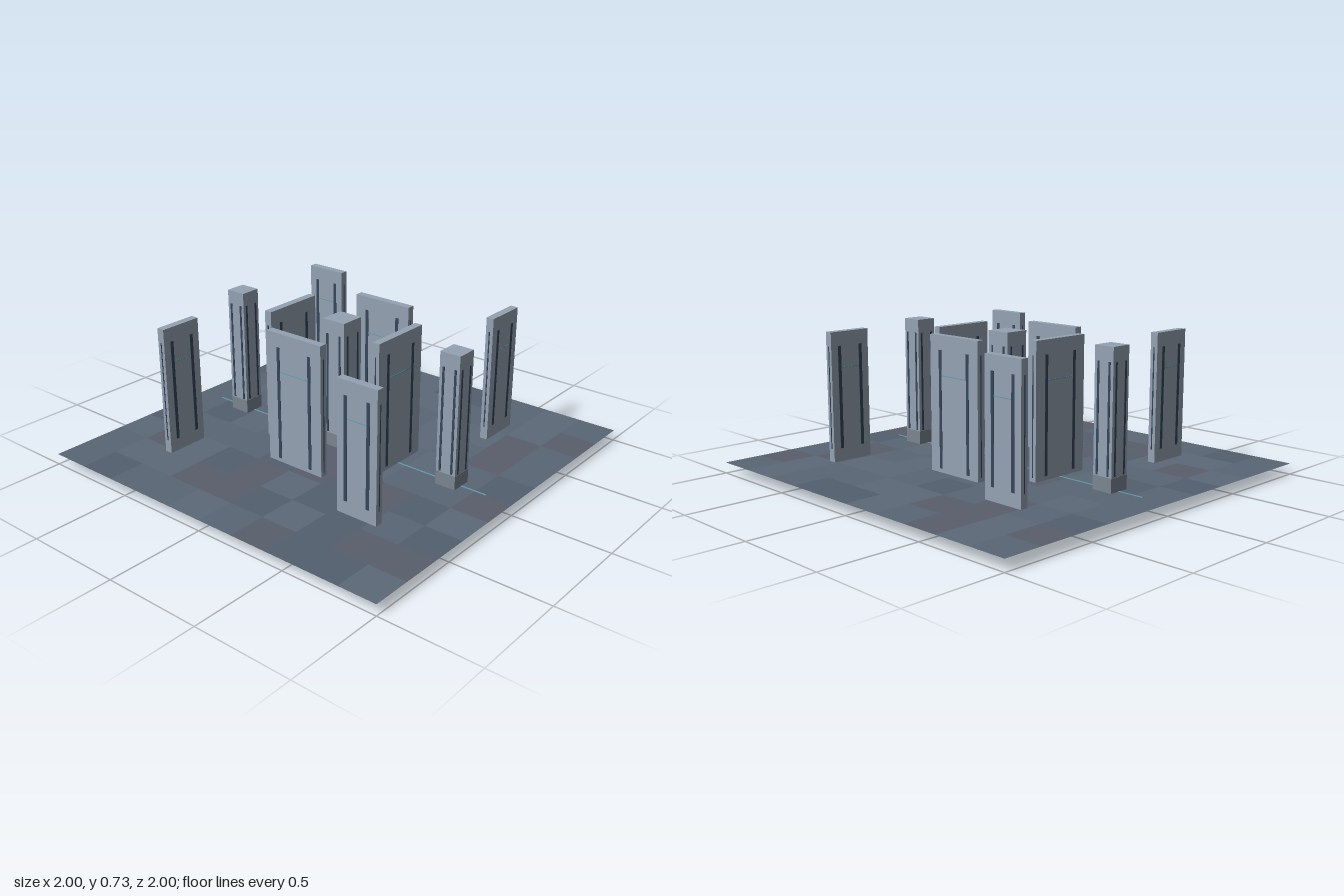
import * as THREE from 'three';
import { mergeGeometries } from 'three/addons/utils/BufferGeometryUtils.js';

const mat = (color, side = THREE.FrontSide) => new THREE.MeshStandardMaterial({ color, side });
const stone = mat(0x94a2b2), dark = mat(0x35465a), shade = mat(0x7b8590), glow = mat(0x5f9fb0);

const FLOOR = 0.055, TOP = 0.725;

function box(parent, name, material, w, d, y0, y1, x = 0, z = 0) {
  const mesh = new THREE.Mesh(new THREE.BoxGeometry(w, y1 - y0, d), material);
  mesh.name = name;
  mesh.position.set(x, (y0 + y1) / 2, z);
  parent.add(mesh);
}

// Upright slab with two dark grooves and a thin light line on both faces
function makePanel(name, { width, bottom, grooveBottom, grooveX, lineY }) {
  const g = new THREE.Group();
  g.name = name;
  const t = 0.04;
  box(g, 'slab', stone, width, t, bottom, TOP);
  for (const s of [-1, 1]) {
    box(g, 'groove', dark, 0.018, t + 0.003, grooveBottom, 0.655, s * grooveX);
  }
  box(g, 'lightLine', glow, grooveX * 2 - 0.018, t + 0.002, lineY, lineY + 0.004);
  box(g, 'edgeSeam', dark, width + 0.003, 0.006, grooveBottom, 0.655);
  return g;
}

// Square column with a plinth and two grooves on every face
function makePillar(name, size, bottom) {
  const g = new THREE.Group();
  g.name = name;
  box(g, 'shaft', stone, size, size, bottom, TOP);
  box(g, 'plinth', shade, size + 0.002, size + 0.002, bottom, 0.125);
  for (const s of [-1, 1]) {
    box(g, 'groove', dark, 0.012, size + 0.003, 0.13, 0.655, s * size * 0.3);
    box(g, 'groove', dark, size + 0.003, 0.012, 0.13, 0.655, 0, s * size * 0.3);
  }
  return g;
}

// Thin floor of square tiles in slightly different tones
function makeFloor() {
  const g = new THREE.Group();
  g.name = 'floor';
  const tones = [0x53606e, 0x596674, 0x5c6977, 0x595f6b];
  const sets = tones.map(() => []);
  let seed = 7;
  for (let i = 0; i < 10; i++) {
    for (let j = 0; j < 10; j++) {
      seed = (seed * 16807) % 2147483647;
      const tile = new THREE.PlaneGeometry(0.2, 0.2).rotateX(-Math.PI / 2);
      tile.translate(-0.9 + i * 0.2, FLOOR, -0.9 + j * 0.2);
      sets[seed % tones.length].push(tile);
    }
  }
  sets.forEach((set, k) => {
    if (!set.length) return;
    const mesh = new THREE.Mesh(mergeGeometries(set), mat(tones[k], THREE.DoubleSide));
    mesh.name = 'floorTiles';
    g.add(mesh);
  });
  // Glowing guide lines on both sides of the centre
  for (const s of [-1, 1]) {
    box(g, 'guideLine', glow, 0.76, 0.008, FLOOR, FLOOR + 0.002, s * 0.48);
  }
  return g;
}

export function createModel() {
  const model = new THREE.Group();
  model.name = 'panelPlaza';
  model.add(makeFloor());

  const inner = { width: 0.33, bottom: 0, grooveBottom: 0.075, grooveX: 0.095, lineY: 0.53 };
  const outer = { width: 0.22, bottom: 0.08, grooveBottom: 0.145, grooveX: 0.062, lineY: 0.545 };

  // Four inner panels around the centre, four outer panels in the corners
  for (let i = 0; i < 4; i++) {
    const a = i * Math.PI / 2;
    const wall = makePanel('innerPanel', inner);
    wall.position.set(Math.sin(a) * 0.335, 0, Math.cos(a) * 0.335);
    wall.rotation.y = a;
    model.add(wall);

    const corner = makePanel('outerPanel', outer);
    corner.position.set(Math.SQRT2 * 0.556 * Math.sin(a + Math.PI / 4), 0,
      Math.SQRT2 * 0.556 * Math.cos(a + Math.PI / 4));
    corner.rotation.y = a;
    model.add(corner);
  }

  // Centre pillar and the two side pillars
  model.add(makePillar('centrePillar', 0.13, 0.04));
  for (const s of [-1, 1]) {
    const pillar = makePillar('sidePillar', 0.108, FLOOR);
    pillar.position.x = s * 0.667;
    model.add(pillar);
  }
  return model;
}
